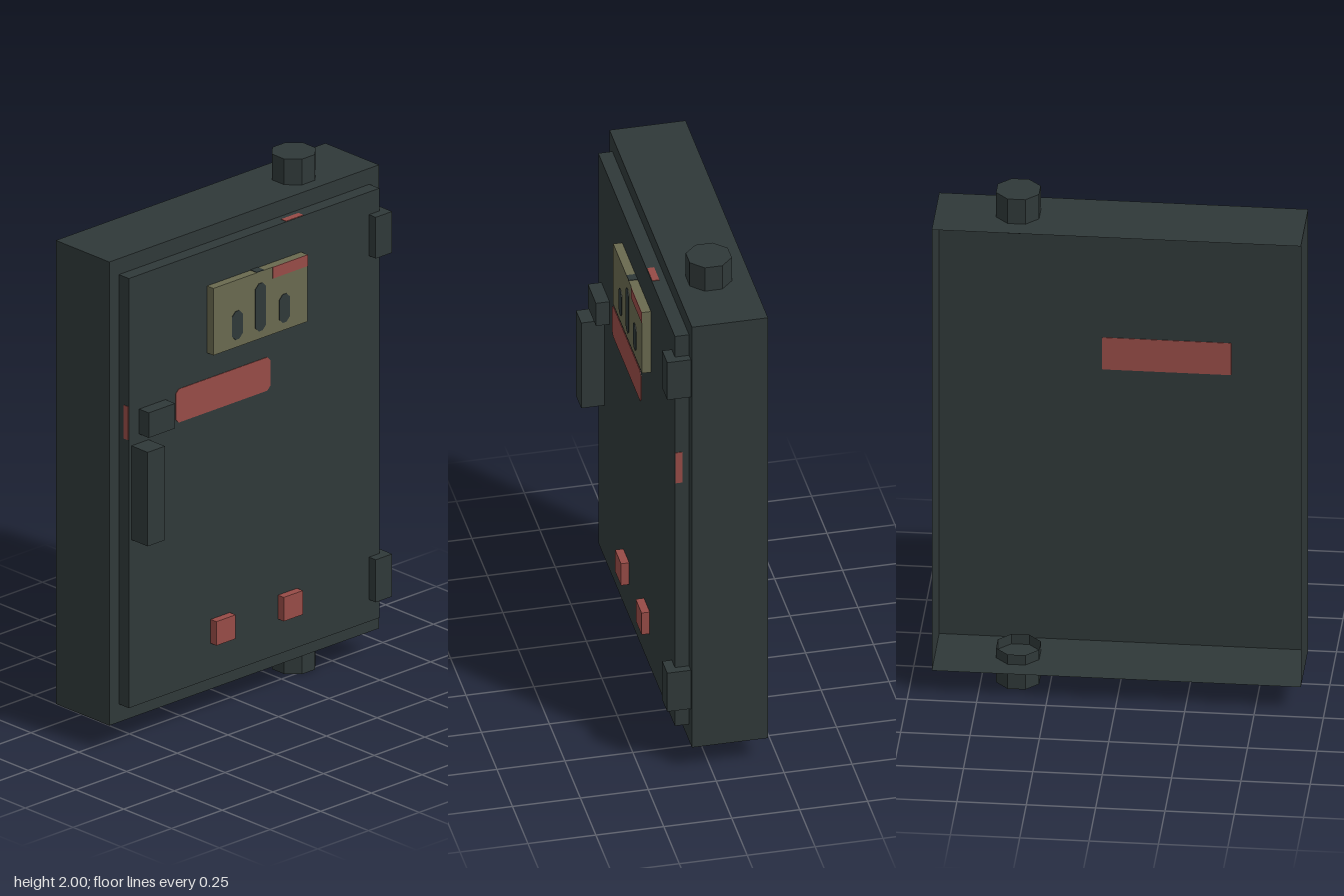
import * as THREE from 'three';

const steel = new THREE.MeshStandardMaterial({ name: 'dark steel', color: 0x2f3838, side: THREE.DoubleSide });
const khaki = new THREE.MeshStandardMaterial({ name: 'khaki plate', color: 0x69694f });
const red = new THREE.MeshStandardMaterial({ name: 'faded red', color: 0x964b46 });

export function createModel() {
  const model = new THREE.Group();
  model.name = 'electricalCabinet';

  const add = (name, geometry, material) => {
    const mesh = new THREE.Mesh(geometry, material);
    mesh.name = name;
    model.add(mesh);
    return mesh;
  };

  // box given by its limits on each axis; openBack drops the -z face
  const box = (name, material, [x0, x1], [y0, y1], [z0, z1], openBack = false) => {
    const g = new THREE.BoxGeometry(x1 - x0, y1 - y0, z1 - z0);
    if (openBack) {
      g.setIndex(Array.from(g.index.array).slice(0, 30));
      g.clearGroups();
    }
    g.translate((x0 + x1) / 2, (y0 + y1) / 2, (z0 + z1) / 2);
    return add(name, g, material);
  };

  // flat outline with cut corners, extruded forward from z
  const plate = (name, material, [x0, x1], [y0, y1], cut, z, depth) => {
    const s = new THREE.Shape([
      [x0 + cut, y0], [x1 - cut, y0], [x1, y0 + cut], [x1, y1 - cut],
      [x1 - cut, y1], [x0 + cut, y1], [x0, y1 - cut], [x0, y0 + cut],
    ].map(([x, y]) => new THREE.Vector2(x, y)));
    const g = new THREE.ExtrudeGeometry(s, { depth, bevelEnabled: false });
    g.translate(0, 0, z);
    return add(name, g, material);
  };

  // shell and door
  box('cabinetShell', steel, [-0.665, 0.665], [0.1, 1.9], [-0.21, 0.07], true);
  box('door', steel, [-0.618, 0.618], [0.17, 1.838], [0.07, 0.122], true);

  // hinges
  for (const y of [[1.59, 1.75], [0.255, 0.42]]) {
    box('hinge', steel, [0.567, 0.648], y, [0.07, 0.157]);
  }

  // latch and handle
  box('latch', steel, [-0.567, -0.437], [1.22, 1.317], [0.12, 0.172]);
  box('handle', steel, [-0.605, -0.52], [0.82, 1.185], [0.12, 0.207]);

  // octagonal conduits through roof and floor, open on the inside
  for (const [name, y, cap] of [['topConduit', 1.93, 2], ['bottomConduit', 0.07, 0]]) {
    const r = 0.0775 / Math.cos(Math.PI / 8);
    const tube = new THREE.CylinderGeometry(r, r, 0.14, 8, 1, true, Math.PI / 8);
    const pipe = add(name, tube.toNonIndexed(), steel);
    pipe.geometry.computeVertexNormals();
    pipe.position.set(0.367, y, -0.06);
    const disc = new THREE.CircleGeometry(r, 8, Math.PI / 8);
    disc.rotateX(cap ? -Math.PI / 2 : Math.PI / 2);
    add(name + 'Cap', disc, steel).position.set(0.367, cap, -0.06);
  }

  // information plate with dark slots and red corner
  box('infoPlate', khaki, [-0.232, 0.232], [1.44, 1.7], [0.12, 0.155]);
  for (const [x, top] of [[-0.115, 1.58], [0, 1.655], [0.118, 1.58]]) {
    plate('infoSlot', steel, [x - 0.026, x + 0.026], [1.47, top], 0.017, 0.154, 0.003);
  }
  box('infoRedCorner', red, [0.06, 0.232], [1.656, 1.7], [0.154, 0.157]);
  box('infoTopMark', steel, [-0.018, 0.018], [1.699, 1.702], [0.121, 0.155]);

  // red warning strip on the door, also showing on the inside
  plate('warningStrip', red, [-0.388, 0.078], [1.21, 1.34], 0.015, 0.121, 0.003);
  plate('innerStrip', red, [-0.388, 0.078], [1.21, 1.34], 0.002, 0.067, 0.002);

  // red marks on the door edges
  for (const s of [-1, 1]) {
    const mark = box('doorSideMark', red, [-0.0015, 0.0015], [1.21, 1.34], [0.095, 0.12]);
    mark.position.x = s * 0.6185;
  }
  box('doorTopMark', red, [0.16, 0.245], [1.837, 1.84], [0.094, 0.12]);

  // push buttons
  for (const x of [-0.167, 0.165]) {
    box('button', red, [x - 0.047, x + 0.047], [0.307, 0.4], [0.12, 0.152]);
  }

  return model;
}
